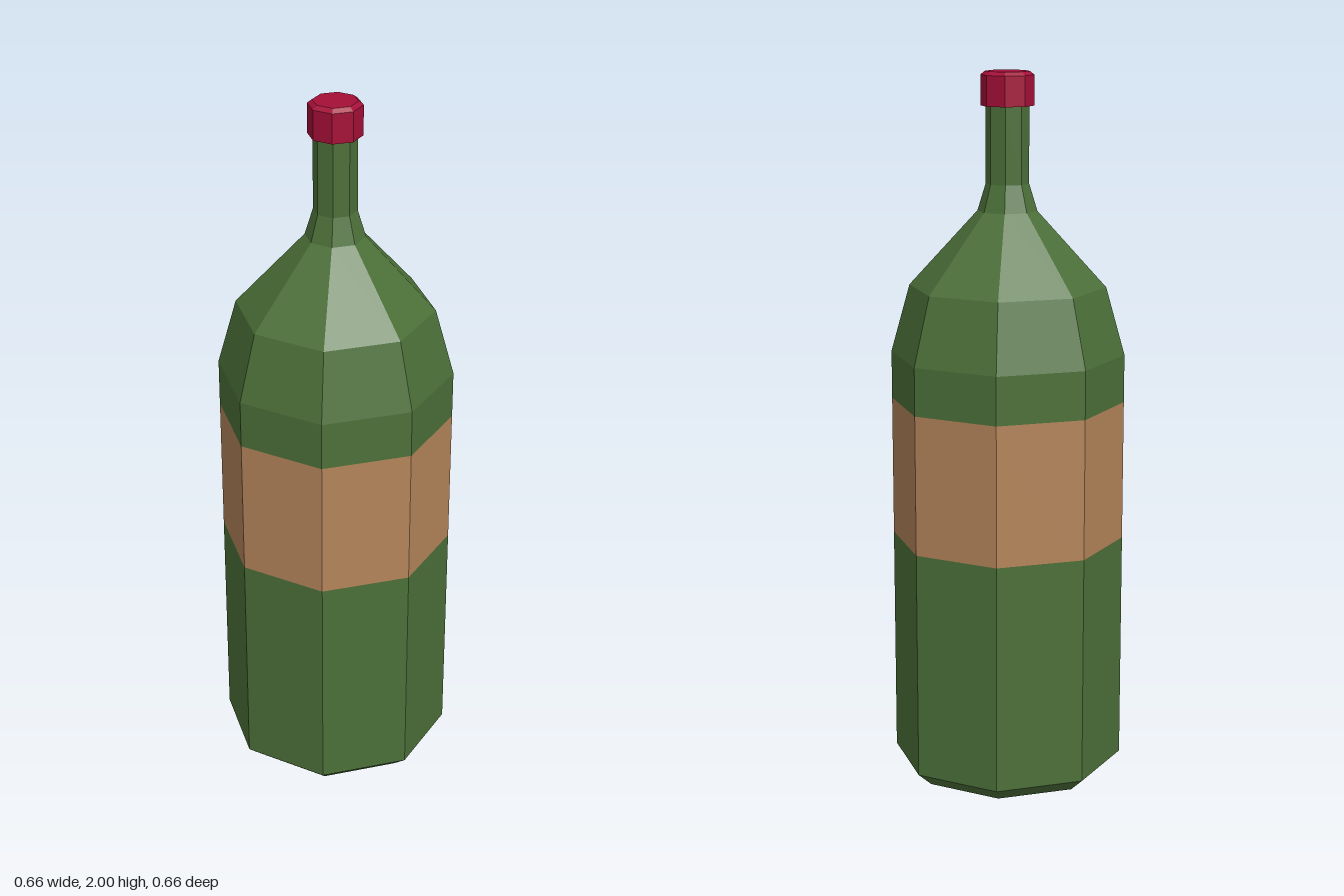
import * as THREE from 'three';

const SIDES = 8;

const glass = new THREE.MeshStandardMaterial({ color: 0x4c7039 });
glass.name = 'greenGlass';
const paper = new THREE.MeshStandardMaterial({ color: 0xb4845a });
paper.name = 'tanLabel';
const foil = new THREE.MeshStandardMaterial({ color: 0xa50f38 });
foil.name = 'redCap';

// Eight-sided turned part with hard facets; profile is [radius, height] from bottom to top
function turned(name, profile, material) {
  const points = profile.map(([r, y]) => new THREE.Vector2(r, y));
  const geometry = new THREE.LatheGeometry(points, SIDES).toNonIndexed();
  geometry.computeVertexNormals();
  const mesh = new THREE.Mesh(geometry, material);
  mesh.name = name;
  return mesh;
}

export function createModel() {
  const bottle = new THREE.Group();
  bottle.name = 'bottle';
  const R = 0.328;

  // Closed base with a bevelled foot, up to the label
  bottle.add(turned('lowerBody', [[0, 0], [0.283, 0], [R, 0.04], [R, 0.69]], glass));

  // Label band flush with the glass
  bottle.add(turned('label', [[R, 0.69], [R, 1.085]], paper));

  // Shoulders tapering into the neck
  bottle.add(turned('shouldersAndNeck', [
    [R, 1.085], [R, 1.22], [0.275, 1.41], [0.083, 1.62], [0.06, 1.695], [0.06, 1.91],
  ], glass));

  // Cap with a small bevel around the top
  bottle.add(turned('cap', [
    [0, 1.907], [0.074, 1.907], [0.074, 1.99], [0.061, 2], [0, 2],
  ], foil));

  return bottle;
}
